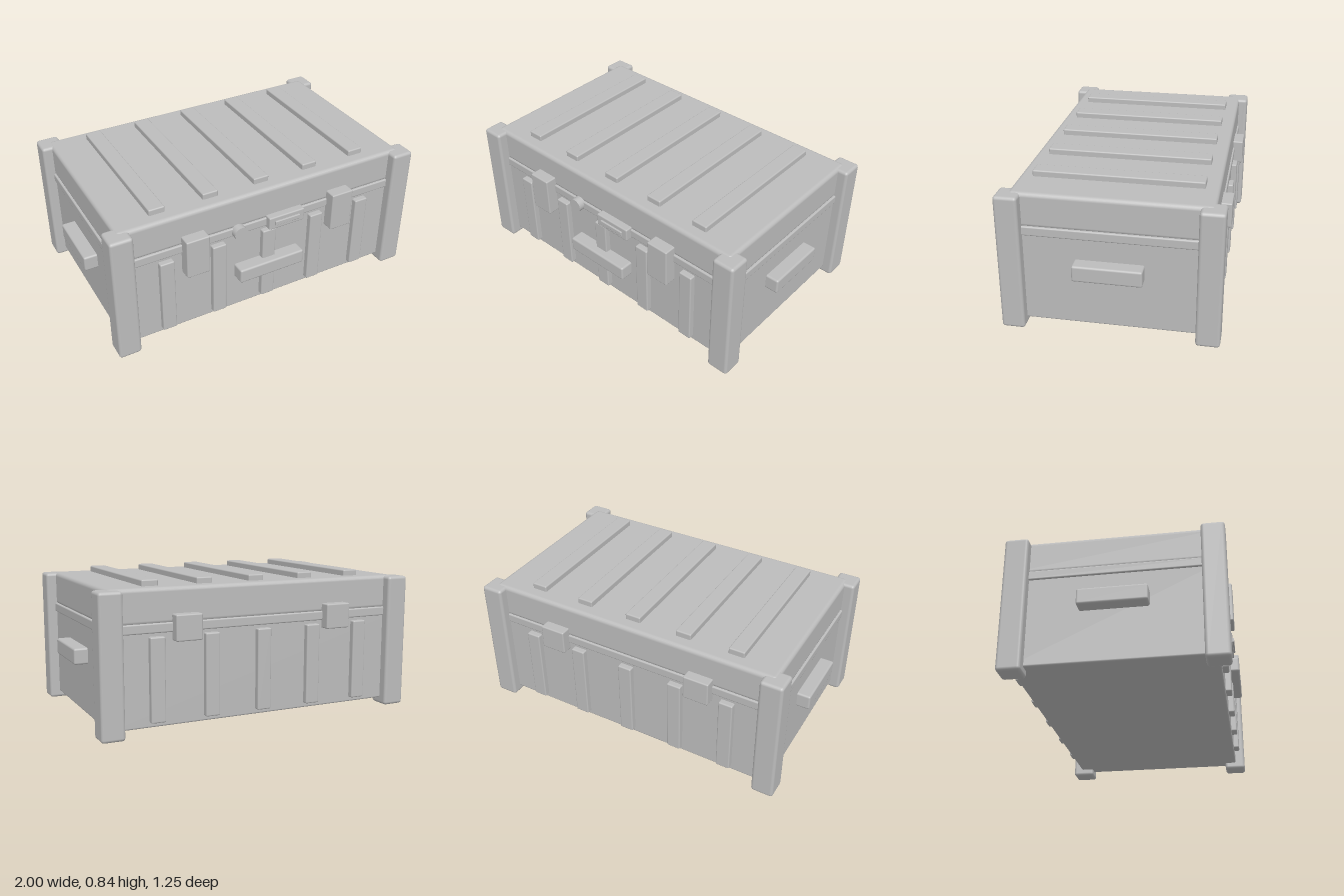
import * as THREE from 'three';
import { RoundedBoxGeometry } from 'three/addons/geometries/RoundedBoxGeometry.js';

export function createModel() {
  const model = new THREE.Group();
  model.name = 'storageCrate';
  const grey = new THREE.MeshStandardMaterial({ color: 0xbcbcbc });
  grey.name = 'plain grey';

  // Rounded block given by its extents on each axis
  function block(name, [x0, x1], [y0, y1], [z0, z1], radius = 0.008) {
    const geometry = new RoundedBoxGeometry(x1 - x0, y1 - y0, z1 - z0, 2, radius);
    const mesh = new THREE.Mesh(geometry, grey);
    mesh.name = name;
    mesh.position.set((x0 + x1) / 2, (y0 + y1) / 2, (z0 + z1) / 2);
    model.add(mesh);
    return mesh;
  }

  // Body, seam strip and lid
  block('body', [-0.92, 0.92], [0.04, 0.575], [-0.565, 0.54], 0.01);
  block('seamStrip', [-0.93, 0.93], [0.562, 0.616], [-0.573, 0.549], 0.008);
  block('lid', [-0.92, 0.92], [0.605, 0.808], [-0.565, 0.54], 0.025);

  // Corner posts
  for (const [x0, x1] of [[-0.98, -0.845], [0.845, 0.98]]) {
    block('frontCornerPost', [x0, x1], [0, 0.803], [0.468, 0.6], 0.018);
    block('backCornerPost', [x0, x1], [0, 0.803], [-0.62, -0.485], 0.018);
  }

  // Reinforcing ribs on the lid, front and back
  for (const x of [-0.652, -0.328, -0.003, 0.322, 0.648]) {
    block('lidRib', [x - 0.048, x + 0.048], [0.79, 0.843], [-0.487, 0.464]);
    block('frontRib', [x - 0.043, x + 0.043], [0.07, 0.545], [0.52, 0.574]);
    block('backRib', [x - 0.043, x + 0.043], [0.07, 0.545], [-0.599, -0.545]);
  }

  // Front latches and back hinges
  for (const x of [-0.48, 0.474]) {
    block('latch', [x - 0.071, x + 0.071], [0.425, 0.668], [0.53, 0.61]);
    block('hinge', [x - 0.078, x + 0.078], [0.515, 0.662], [-0.626, -0.55]);
  }

  // Round lock
  const lock = new THREE.Mesh(new THREE.CylinderGeometry(0.042, 0.042, 0.055, 24), grey);
  lock.name = 'lock';
  lock.rotation.x = Math.PI / 2;
  lock.position.set(-0.197, 0.59, 0.5575);
  model.add(lock);

  // Clasp plate with raised bar
  block('claspPlate', [-0.012, 0.224], [0.55, 0.63], [0.53, 0.584]);
  block('claspBar', [0.024, 0.19], [0.576, 0.604], [0.57, 0.594], 0.004);

  // Carrying handles
  block('frontHandle', [-0.216, 0.212], [0.262, 0.353], [0.53, 0.62], 0.012);
  for (const side of [-1, 1]) {
    const ends = [side * 0.91, side].sort((a, b) => a - b);
    block('sideHandle', ends, [0.346, 0.44], [-0.2, 0.185], 0.012);
  }
  return model;
}
